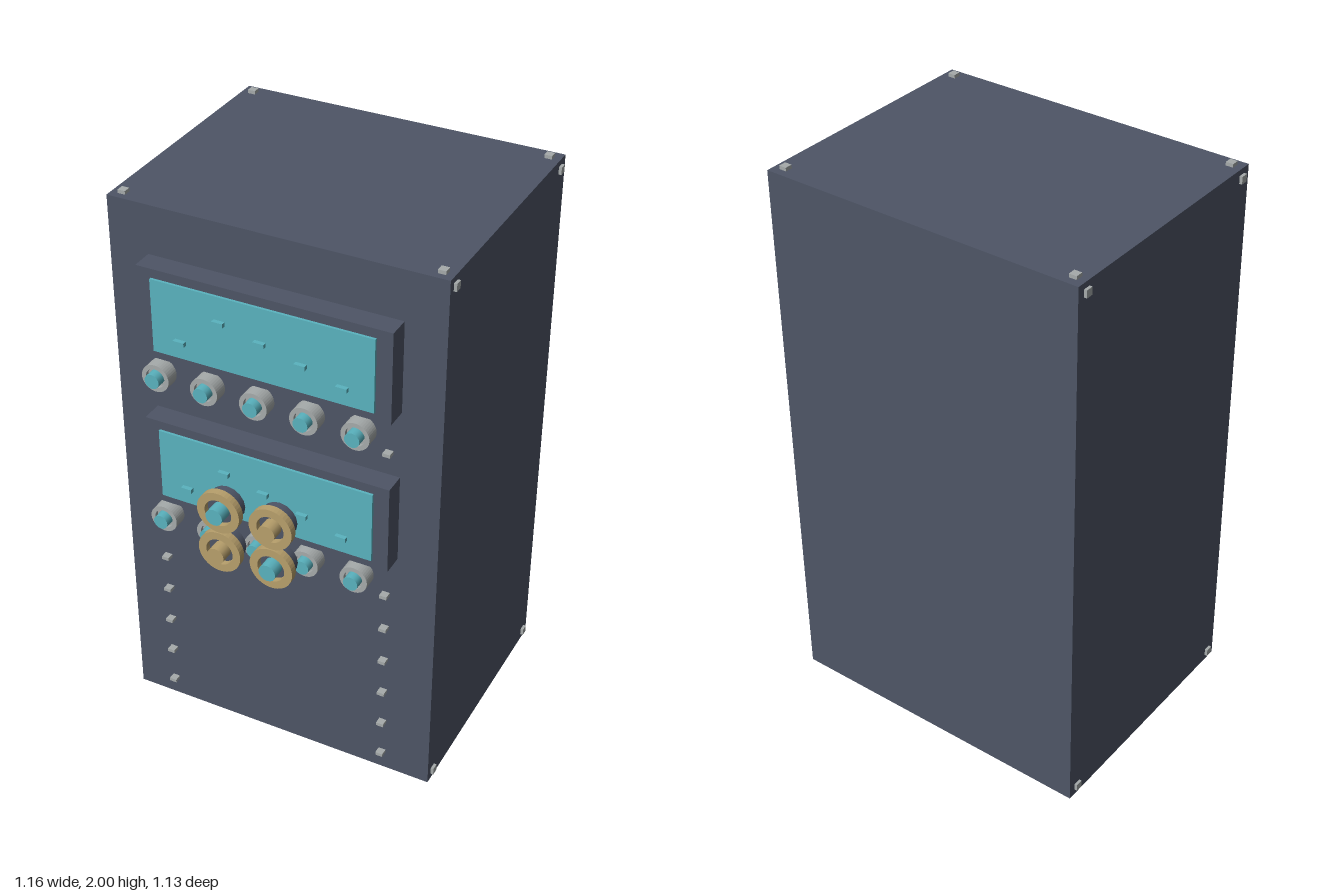
import * as THREE from 'three';

const mat = (name, color) => {
  const m = new THREE.MeshStandardMaterial({ color });
  m.name = name;
  return m;
};

export function createModel() {
  const slate = mat('slate', 0x4e5566);
  const teal = mat('teal', 0x5ab3bf);
  const steel = mat('steel', 0xa6abab);
  const brass = mat('brass', 0xb8a06c);
  const model = new THREE.Group();
  model.name = 'controlCabinet';

  const add = (name, geometry, material, x, y, z, parent = model) => {
    const mesh = new THREE.Mesh(geometry, material);
    mesh.name = name;
    mesh.position.set(x, y, z);
    parent.add(mesh);
    return mesh;
  };
  const box = (name, w, h, d, material, x, y, z, parent) =>
    add(name, new THREE.BoxGeometry(w, h, d), material, x, y, z, parent);

  // Disc facing +z, spanning z0 to z1
  const disc = (name, r, z0, z1, material, parent) =>
    add(name, new THREE.CylinderGeometry(r, r, z1 - z0, 16).rotateX(Math.PI / 2),
      material, 0, 0, (z0 + z1) / 2, parent);

  // Flat ring with a round hole, spanning z0 to z1
  const ring = (name, outer, inner, z0, z1, material, parent) => {
    const shape = new THREE.Shape().absarc(0, 0, outer, 0, Math.PI * 2);
    shape.holes.push(new THREE.Path().absarc(0, 0, inner, 0, Math.PI * 2, true));
    const geometry = new THREE.ExtrudeGeometry(shape,
      { depth: z1 - z0, bevelEnabled: false, curveSegments: 20 });
    return add(name, geometry, material, 0, 0, z0, parent);
  };

  const group = (name, x, y) => {
    const g = new THREE.Group();
    g.name = name;
    g.position.set(x, y, 0);
    model.add(g);
    return g;
  };

  // Cabinet
  box('cabinet', 1.14, 1.976, 0.89, slate, 0, 1, -0.12);

  // Corner studs on the top, bottom and both sides
  for (const sx of [-1, 1]) {
    for (const z of [0.288, -0.525]) {
      for (const sy of [-1, 1]) {
        box('capStud', 0.026, 0.026, 0.026, steel, sx * 0.532, 1 + sy * 0.987, z);
        box('sideStud', 0.026, 0.026, 0.026, steel, sx * 0.567, 1 + sy * 0.955, z);
      }
    }
  }

  // Two display panels, each with a row of knobs beneath
  const marks = [[-0.28, -0.068], [-0.14, 0.04], [0, 0.007], [0.138, -0.03], [0.277, -0.068]];
  for (const y of [1.659, 1.101]) {
    const panel = group('displayPanel', 0, y);
    box('bezel', 0.865, 0.318, 0.075, slate, 0, 0, 0.3625, panel);
    box('screen', 0.76, 0.256, 0.02, teal, 0, 0, 0.399, panel);
    for (const [x, dy] of marks) {
      box('screenMark', 0.038, 0.015, 0.022, teal, x, dy, 0.413, panel);
    }
    for (let i = 0; i < 5; i++) {
      const knob = group('knob', -0.4 + i * 0.176, y - 0.254);
      disc('knobBase', 0.045, 0.32, 0.365, steel, knob);
      ring('knobRim', 0.049, 0.034, 0.33, 0.38, steel, knob);
      disc('knobCap', 0.026, 0.36, 0.402, teal, knob);
    }
  }

  // Rack screws standing just off the front
  for (const x of [-0.41, 0.406]) {
    for (const i of [0, 1, 2, 3, 4, 5, 6, 9, 10]) {
      box('rackScrew', 0.026, 0.012, 0.026, steel, x, 0.112 + i * 0.139, 0.36);
    }
  }

  // Cluster of four large dials with alternating caps
  [-0.095, 0.091].forEach((x, i) => {
    [1.082, 0.927].forEach((y, j) => {
      const dial = group('dial', x, y);
      disc('dialBody', 0.062, 0.47, 0.515, slate, dial);
      ring('dialRing', 0.076, 0.048, 0.51, 0.536, brass, dial);
      disc('dialCap', 0.03, 0.51, 0.562, i === j ? teal : brass, dial);
    });
  });

  return model;
}
